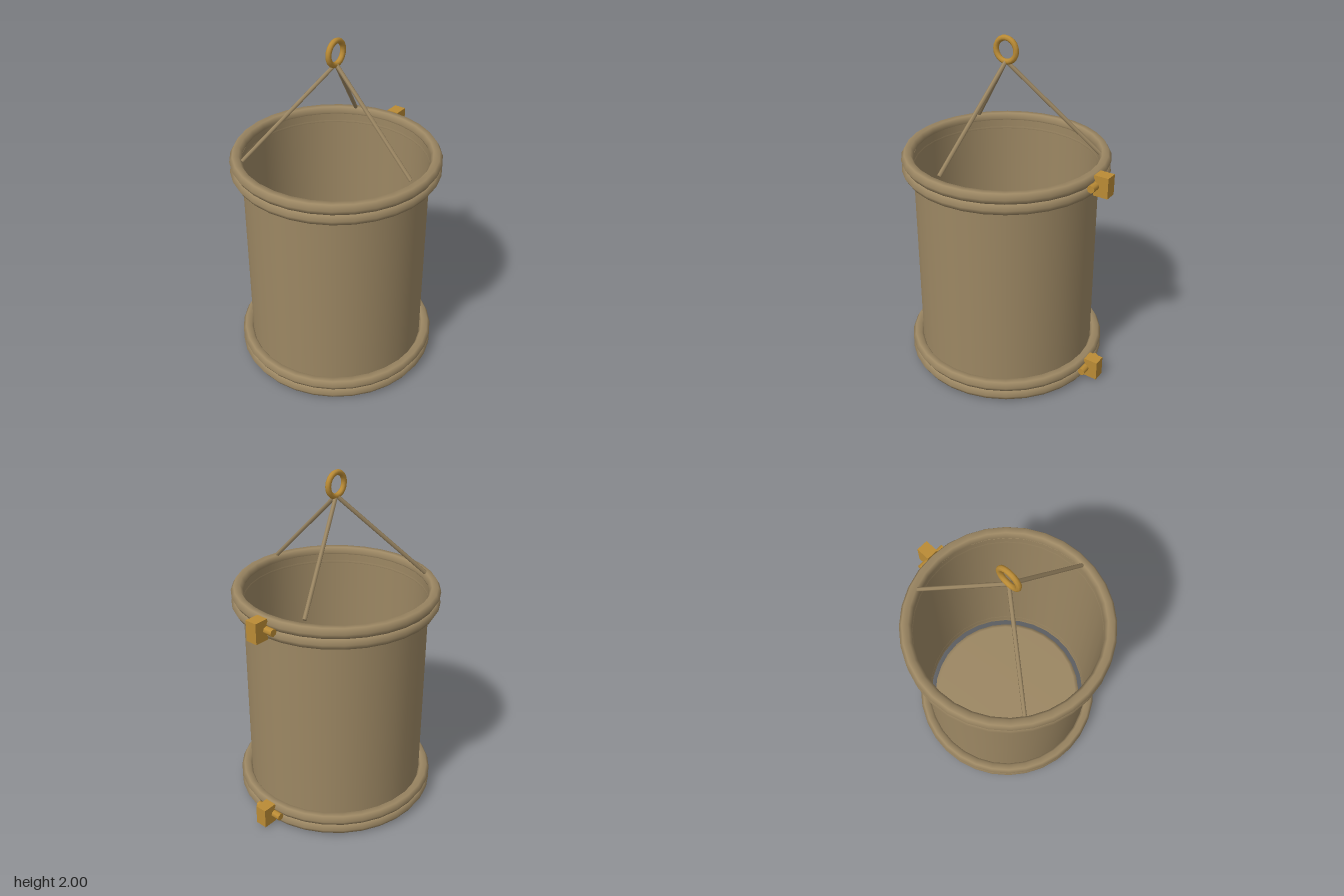
import * as THREE from 'three';

const SIDES = 32;

export function createModel() {
  const model = new THREE.Group();
  const drum = new THREE.Group();
  drum.name = 'drum';
  drum.position.x = -0.04;
  model.add(drum);

  const canvas = new THREE.MeshStandardMaterial({ color: 0x9c8763, side: THREE.DoubleSide });
  canvas.name = 'khaki brown';
  const brass = new THREE.MeshStandardMaterial({ color: 0xba8b35 });
  brass.name = 'brass';

  const add = (name, geometry, material, x = 0, y = 0, z = 0) => {
    const mesh = new THREE.Mesh(geometry, material);
    mesh.name = name;
    mesh.position.set(x, y, z);
    drum.add(mesh);
    return mesh;
  };

  // Open wall
  add('wall', new THREE.CylinderGeometry(0.53, 0.53, 1.26, SIDES, 1, true), canvas, 0, 0.68);

  // Loose floor plate with a bevelled rim, slightly narrower than the wall
  const profile = [[0, 0], [0.475, 0], [0.5, 0.015], [0.5, 0.025], [0.475, 0.04], [0, 0.04]]
    .map(([r, y]) => new THREE.Vector2(r, y));
  add('floor', new THREE.LatheGeometry(profile, SIDES), canvas);

  // Double hoops with a brass clip at the bottom and the top
  for (const [end, y] of [['lower', 0.071], ['upper', 1.29]]) {
    for (const side of [-1, 1]) {
      const hoop = add(end + 'Hoop', new THREE.TorusGeometry(0.561, 0.035, 6, SIDES), canvas, 0, y + side * 0.0305);
      hoop.rotation.x = Math.PI / 2;
    }
    add(end + 'ClipBlock', new THREE.BoxGeometry(0.085, 0.12, 0.072), brass, 0.628, y);
    const pin = add(end + 'ClipPin', new THREE.CylinderGeometry(0.022, 0.022, 0.18, 8), brass, 0.597, y);
    pin.rotation.x = Math.PI / 2;
  }

  // Three hanger rods meeting under the ring
  const apex = new THREE.Vector3(0, 1.858, 0);
  const up = new THREE.Vector3(0, 1, 0);
  for (let i = 0; i < 3; i++) {
    const a = THREE.MathUtils.degToRad(97 + i * 120);
    const foot = new THREE.Vector3(Math.cos(a) * 0.53, 1.362, Math.sin(a) * 0.53);
    const dir = apex.clone().sub(foot);
    const rod = add('hangerRod', new THREE.CylinderGeometry(0.012, 0.012, dir.length(), 6), canvas);
    rod.position.copy(foot).addScaledVector(dir, 0.5);
    rod.quaternion.setFromUnitVectors(up, dir.normalize());
  }

  // Lifting ring
  add('liftingRing', new THREE.TorusGeometry(0.065, 0.016, 8, 20), brass, 0, 1.919);

  return model;
}
